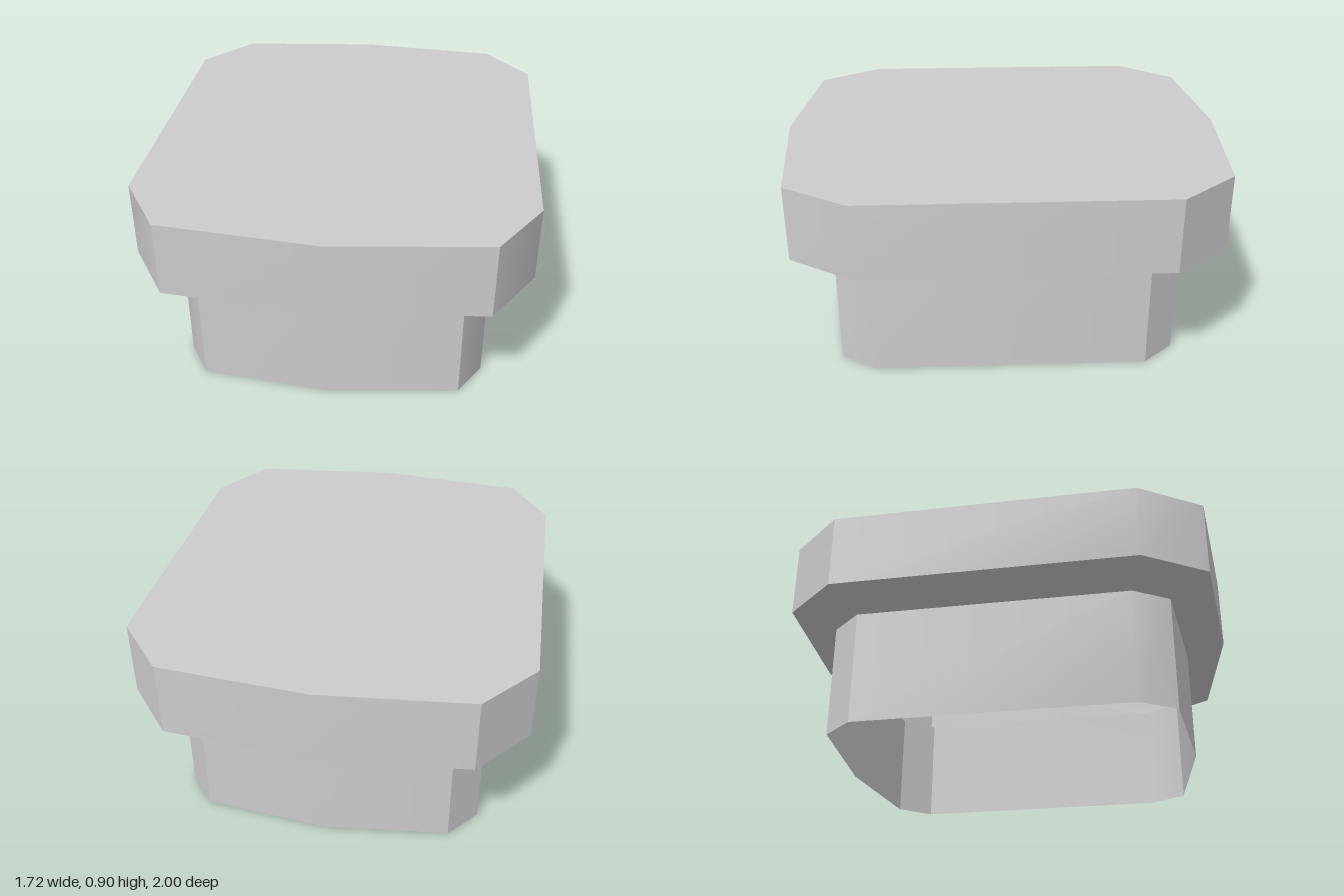
import * as THREE from 'three';
import { toCreasedNormals } from 'three/addons/utils/BufferGeometryUtils.js';

// Mirrored outline from the front centre round to the back centre
function outline(half) {
  const mirrored = half.slice(1, -1).reverse().map(([x, z]) => [-x, z]);
  return [...half, ...mirrored];
}

const headOutline = outline([[0, 0.997], [0.68, 0.925], [0.86, 0.645], [0.86, -0.69], [0.65, -0.94], [0, -1]]);
const neckOutline = outline([[0, 0.82], [0.575, 0.755], [0.675, 0.595], [0.675, -0.62], [0.555, -0.76], [0, -0.82]]);

// Wall joining a lower outline to an upper one
function wall(lower, y0, upper, y1) {
  const n = lower.length;
  const points = [], index = [];
  lower.forEach(([x, z]) => points.push(x, y0, z));
  upper.forEach(([x, z]) => points.push(x, y1, z));
  for (let i = 0; i < n; i++) {
    const j = (i + 1) % n;
    index.push(i, j, n + j, i, n + j, n + i);
  }
  return finish(points, index);
}

// Flat lid fanned out from its centre
function lid(ring, y) {
  const points = [0, y, 0], index = [];
  ring.forEach(([x, z], i) => {
    points.push(x, y, z);
    index.push(0, i + 1, ((i + 1) % ring.length) + 1);
  });
  return finish(points, index);
}

function finish(points, index) {
  const geometry = new THREE.BufferGeometry();
  geometry.setAttribute('position', new THREE.Float32BufferAttribute(points, 3));
  geometry.setIndex(index);
  return toCreasedNormals(geometry, THREE.MathUtils.degToRad(36));
}

export function createModel() {
  const group = new THREE.Group();
  group.name = 'hollowCap';
  const grey = new THREE.MeshStandardMaterial({ color: 0xcccccc, side: THREE.DoubleSide });
  grey.name = 'light grey';

  // Thin shell, open at the bottom and hollow up to the lid
  const parts = {
    neckWall: wall(neckOutline, 0, neckOutline, 0.515),
    flaredLedge: wall(neckOutline, 0.515, headOutline, 0.57),
    headWall: wall(headOutline, 0.57, headOutline, 0.905),
    topLid: lid(headOutline, 0.905),
  };
  for (const [name, geometry] of Object.entries(parts)) {
    const mesh = new THREE.Mesh(geometry, grey);
    mesh.name = name;
    group.add(mesh);
  }
  return group;
}
